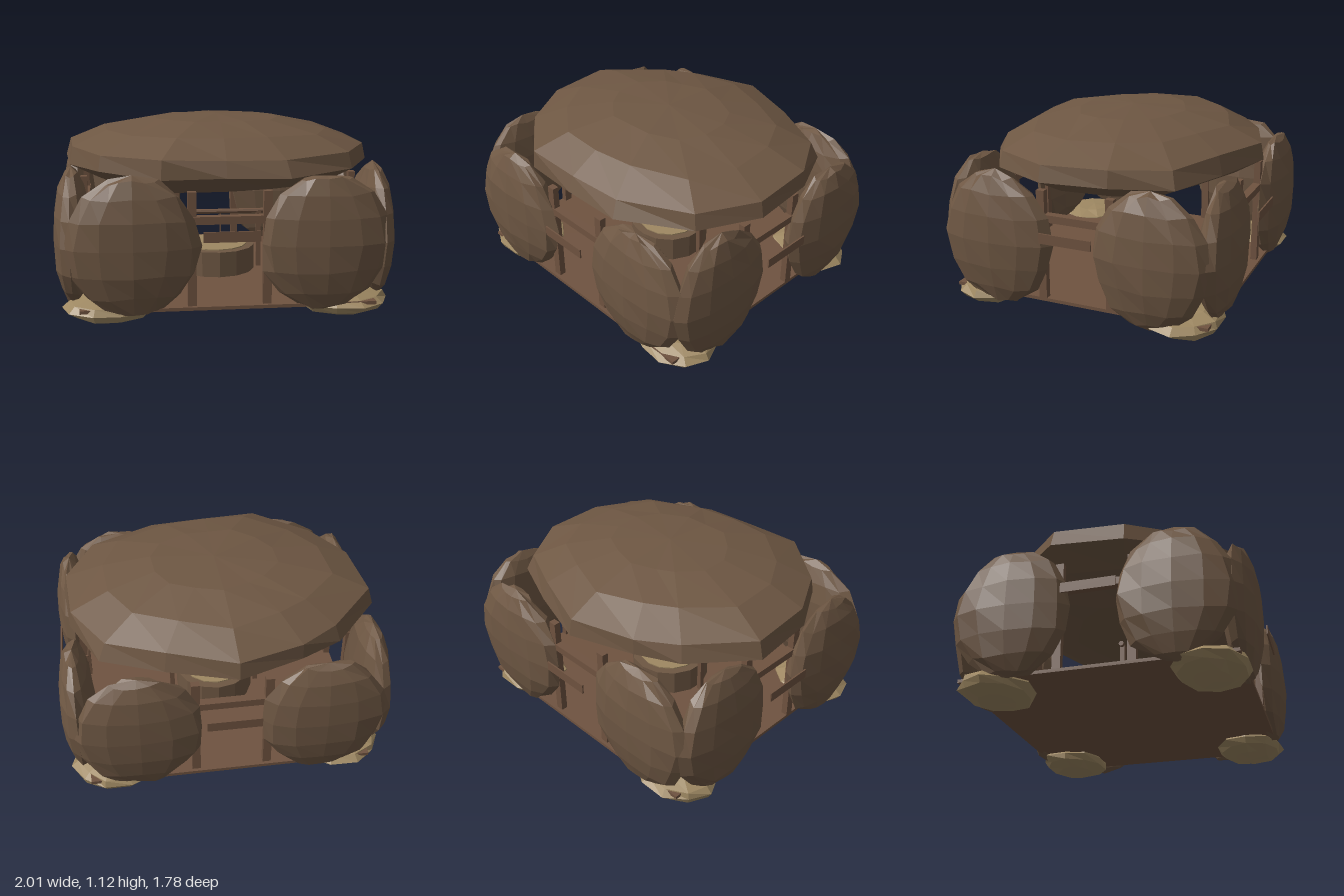
import * as THREE from 'three';

const rock = new THREE.MeshStandardMaterial({ color: 0x6e5743 });
rock.name = 'brown rock';
const wood = new THREE.MeshStandardMaterial({ color: 0x6f5340 });
wood.name = 'brown wood';
const sandstone = new THREE.MeshStandardMaterial({ color: 0x9e8862 });
sandstone.name = 'tan sandstone';

// Repeatable value from -1 to 1 for a position
function hash(x, y, z, seed) {
  const s = Math.sin(Math.round(x * 100) * 12.99 + Math.round(y * 100) * 78.23 + Math.round(z * 100) * 37.72 + seed * 9.17) * 43758.5;
  return (s - Math.floor(s)) * 2 - 1;
}

function facet(geometry) {
  const flat = geometry.index ? geometry.toNonIndexed() : geometry;
  flat.computeVertexNormals();
  return flat;
}

// Faceted boulder: a coarse sphere, slightly squared and roughened
function boulder(sx, sy, sz, seed, cols = 12, rows = 8, rough = 0.04) {
  const geo = new THREE.SphereGeometry(1, cols, rows);
  const p = geo.attributes.position;
  for (let i = 0; i < p.count; i++) {
    const x = p.getX(i), y = p.getY(i), z = p.getZ(i);
    const k = 1 + rough * (hash(x, y, z, seed) - 0.5);
    p.setXYZ(i, x * k * sx, y * k * sy, z * k * sz);
  }
  return facet(geo);
}

// Roof slab: one outline scaled through several heights
function roofGeometry() {
  const outline = [
    [-0.97, -0.24], [-0.66, -0.57], [-0.42, -0.71], [-0.03, -0.84], [0.38, -0.71], [0.73, -0.55], [0.91, -0.23],
    [0.94, 0.18], [0.76, 0.54], [0.34, 0.76], [-0.02, 0.79], [-0.39, 0.78], [-0.74, 0.51], [-0.93, 0.19],
  ];
  const rings = [[0, 1.13], [0.4, 1.11], [0.73, 1.045], [0.97, 0.95], [1, 0.85], [0.78, 0.75], [0.45, 0.69], [0, 0.67]];
  const n = outline.length, points = [], index = [];
  rings.forEach(([s, y]) => outline.forEach(([x, z]) => {
    const r = s * (1 + 0.02 * hash(x, y, z, 1));
    points.push(x * r, y + 0.01 * s * hash(x, y, z, 2), z * r);
  }));
  for (let i = 0; i < rings.length - 1; i++) {
    for (let j = 0; j < n; j++) {
      const a = i * n + j, b = i * n + (j + 1) % n;
      if (i > 0) index.push(a, b, a + n);
      if (i < rings.length - 2) index.push(b, b + n, a + n);
    }
  }
  const geo = new THREE.BufferGeometry();
  geo.setAttribute('position', new THREE.Float32BufferAttribute(points, 3));
  geo.setIndex(index);
  return facet(geo);
}

export function createModel() {
  const model = new THREE.Group();
  model.name = 'stoneShelter';

  function add(name, geometry, material, x, y, z, parent = model) {
    const mesh = new THREE.Mesh(geometry, material);
    mesh.name = name;
    mesh.position.set(x, y, z);
    parent.add(mesh);
    return mesh;
  }
  const box = (w, h, d) => new THREE.BoxGeometry(w, h, d);

  add('roofBoulder', roofGeometry(), rock, 0, 0, 0);
  add('floor', box(1.7, 0.02, 1.6), wood, 0, 0.11, 0);

  // Wall boulders and foot stones, mirrored to each corner
  let seed = 3;
  for (const sx of [-1, 1]) {
    for (const sz of [-1, 1]) {
      seed++;
      add('endWallBoulder', boulder(0.385, 0.41, 0.112, seed), rock, sx * 0.545, 0.475, sz * 0.785);
      add('sideWallBoulder', boulder(0.112, 0.41, 0.355, seed + 10), rock, sx * 0.89, 0.475, sz * 0.475);
      add('footStone', boulder(0.275, 0.078, 0.23, seed + 20, 10, 6, 0.08), sandstone, sx * 0.69, 0.088, sz * 0.62);
    }
  }

  // Doorway on each side: posts, lintel and a plain hanging board
  for (let i = 0; i < 4; i++) {
    const door = new THREE.Group();
    door.name = 'doorway';
    door.rotation.y = i * Math.PI / 2;
    const side = i % 2 === 1;
    const depth = side ? 0.83 : 0.76;
    for (const s of [-1, 1]) add('doorPost', box(0.05, 0.66, 0.04), wood, s * 0.215, 0.45, depth, door);
    add('lintel', box(0.5, 0.045, 0.05), wood, 0, 0.617, depth, door);
    add('doorBoard', box(0.32, 0.06, 0.009), wood, 0, 0.545, side ? 0.975 : 0.873, door);
    model.add(door);
  }

  // Round hearth in the middle
  add('hearth', facet(new THREE.CylinderGeometry(0.25, 0.25, 0.16, 14)), rock, 0, 0.2, 0);
  add('hearthTop', facet(new THREE.CylinderGeometry(0.2, 0.2, 0.008, 14)), sandstone, 0, 0.283, 0);

  // Spit over the hearth
  for (const s of [-1, 1]) add('spitPost', box(0.03, 0.38, 0.03), wood, s * 0.28, 0.3, 0);
  const bar = add('spitBar', facet(new THREE.CylinderGeometry(0.016, 0.016, 0.64, 8)), wood, 0, 0.49, 0);
  bar.rotation.z = Math.PI / 2;
  add('spitHanger', box(0.008, 0.2, 0.008), wood, 0.03, 0.38, 0);

  return model;
}
